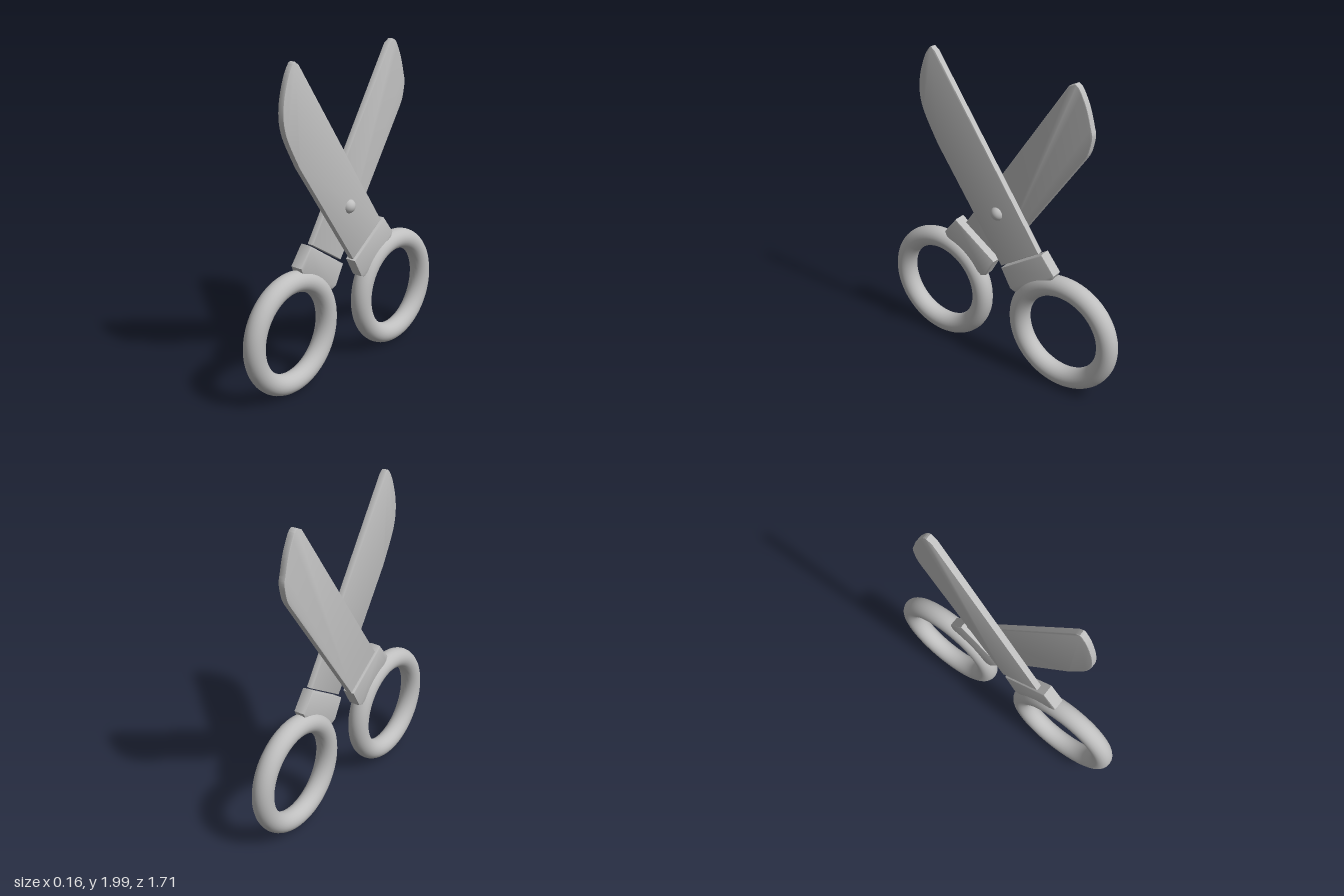
import * as THREE from 'three';
import { toCreasedNormals } from 'three/addons/utils/BufferGeometryUtils.js';

const steel = new THREE.MeshStandardMaterial({ color: 0xbfbfbf });
steel.name = 'pale grey';

function addPart(parent, name, geometry) {
  const mesh = new THREE.Mesh(geometry, steel);
  mesh.name = name;
  parent.add(mesh);
}

// Softly bevelled plate: outline in (z, y), spanning x0..x1
function plate(shape, x0, x1, bevel) {
  const geo = new THREE.ExtrudeGeometry(shape, {
    depth: x1 - x0 - 2 * bevel,
    bevelEnabled: true, bevelThickness: bevel, bevelSize: bevel,
    bevelOffset: -bevel, bevelSegments: 2, curveSegments: 8,
  });
  geo.rotateY(-Math.PI / 2).translate(x1 - bevel, 0, 0);
  return toCreasedNormals(geo, 0.7);
}

// Straight spine and base, curved cutting side running up to the tip
function bladeShape(spineTop, spineBase, heel, curve) {
  const s = new THREE.Shape();
  s.moveTo(...spineTop);
  s.lineTo(...spineBase);
  s.lineTo(...heel);
  s.lineTo(...curve[0]);
  s.splineThru(curve.slice(1).map((p) => new THREE.Vector2(...p)));
  s.closePath();
  return s;
}

// Collar between blade and ring; side mirrors it in z
function collarShape(side) {
  const pts = [[0.333, 0.9], [0.037, 0.7], [0.105, 0.578], [0.14, 0.565],
    [0.27, 0.64], [0.412, 0.755], [0.424, 0.785]];
  return new THREE.Shape(pts.map(([z, y]) => new THREE.Vector2(z * side, y)));
}

export function createModel() {
  const model = new THREE.Group();
  model.name = 'scissors';

  const halves = [
    {
      name: 'leftHalf', side: -1, blade: [0.003, 0.044], collar: [-0.022, 0.052], ringX: 0.01,
      shape: bladeShape([0.44, 1.98], [-0.307, 0.893], [-0.034, 0.71],
        [[0.444, 1.394], [0.524, 1.54], [0.56, 1.63], [0.572, 1.72],
          [0.56, 1.82], [0.524, 1.93], [0.487, 1.99], [0.468, 2.0]]),
    },
    {
      name: 'rightHalf', side: 1, blade: [-0.053, -0.01], collar: [-0.057, 0.025], ringX: -0.015,
      shape: bladeShape([-0.444, 1.966], [0.28, 0.882], [0.02, 0.712],
        [[-0.565, 1.56], [-0.59, 1.61], [-0.608, 1.7], [-0.598, 1.755],
          [-0.566, 1.865], [-0.519, 1.96], [-0.487, 1.988]]),
    },
  ];

  for (const h of halves) {
    const half = new THREE.Group();
    half.name = h.name;
    addPart(half, 'blade', plate(h.shape, ...h.blade, 0.006));
    addPart(half, 'collar', plate(collarShape(h.side), ...h.collar, 0.01));
    // Finger ring
    const ring = new THREE.TorusGeometry(0.316, 0.065, 24, 72);
    ring.rotateY(Math.PI / 2).translate(h.ringX, 0.388, 0.472 * h.side);
    addPart(half, 'fingerRing', ring);
    model.add(half);
  }

  // Pivot
  addPart(model, 'rivet', new THREE.SphereGeometry(0.045, 28, 18).translate(0.03, 1.06, 0));
  return model;
}
